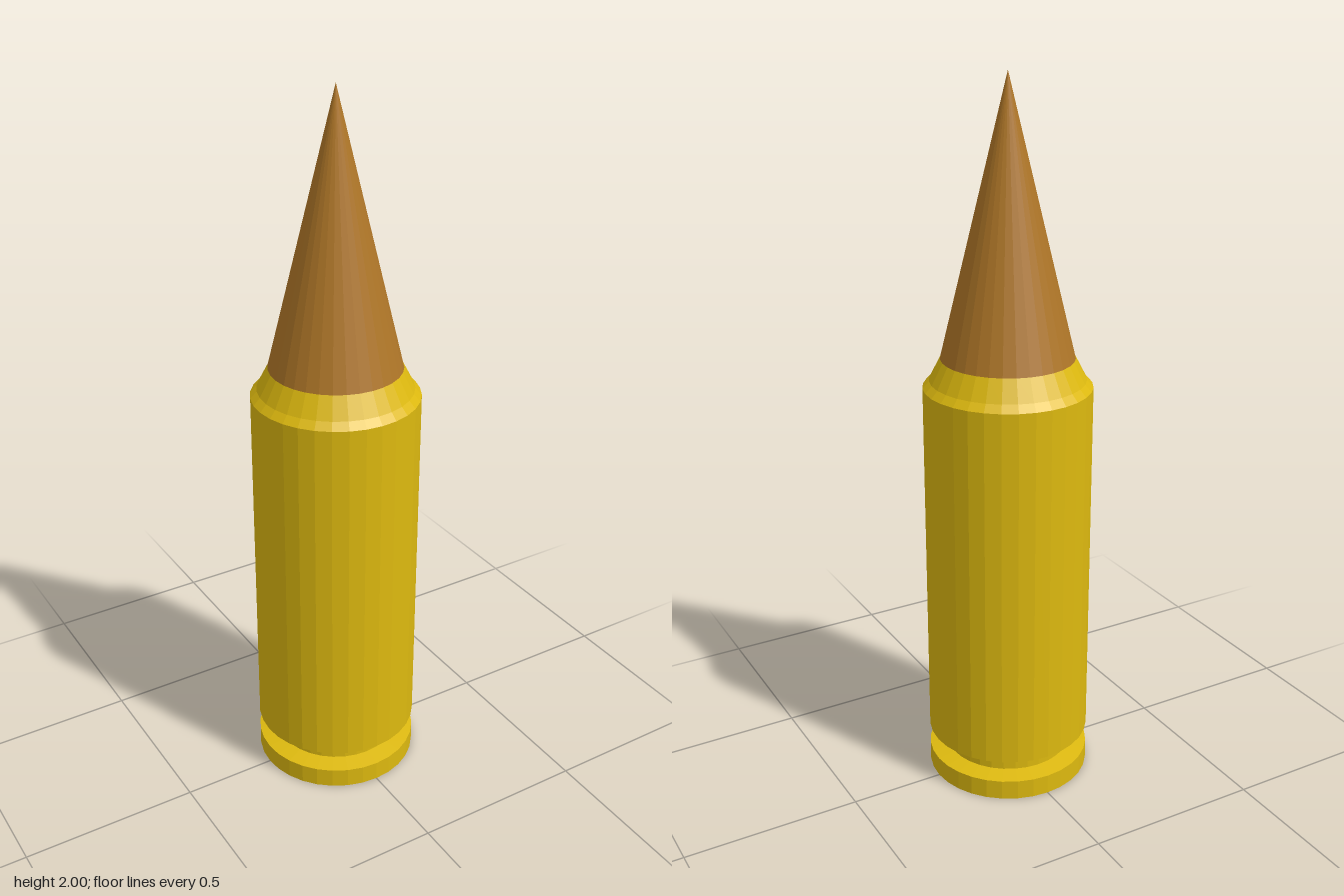
import * as THREE from 'three';

const SIDES = 32;

// Turned part from [radius, height] pairs listed bottom to top
function turned(name, profile, color) {
  const points = profile.map(([r, y]) => new THREE.Vector2(r, y));
  const material = new THREE.MeshStandardMaterial({ color, flatShading: true });
  const mesh = new THREE.Mesh(new THREE.LatheGeometry(points, SIDES), material);
  mesh.name = name;
  return mesh;
}

export function createModel() {
  const group = new THREE.Group();
  group.name = 'cartridge';

  // Brass case: rim, extractor groove, straight body and tapered shoulder
  group.add(turned('case', [
    [0, 0], [0.232, 0], [0.232, 0.057],
    [0.18, 0.065], [0.18, 0.117],
    [0.232, 0.122], [0.232, 1.17],
    [0.214, 1.19], [0.183, 1.25],
  ], 0xddb90f));

  // Pointed copper tip
  group.add(turned('tip', [[0.183, 1.25], [0, 2]], 0xb07728));

  return group;
}
